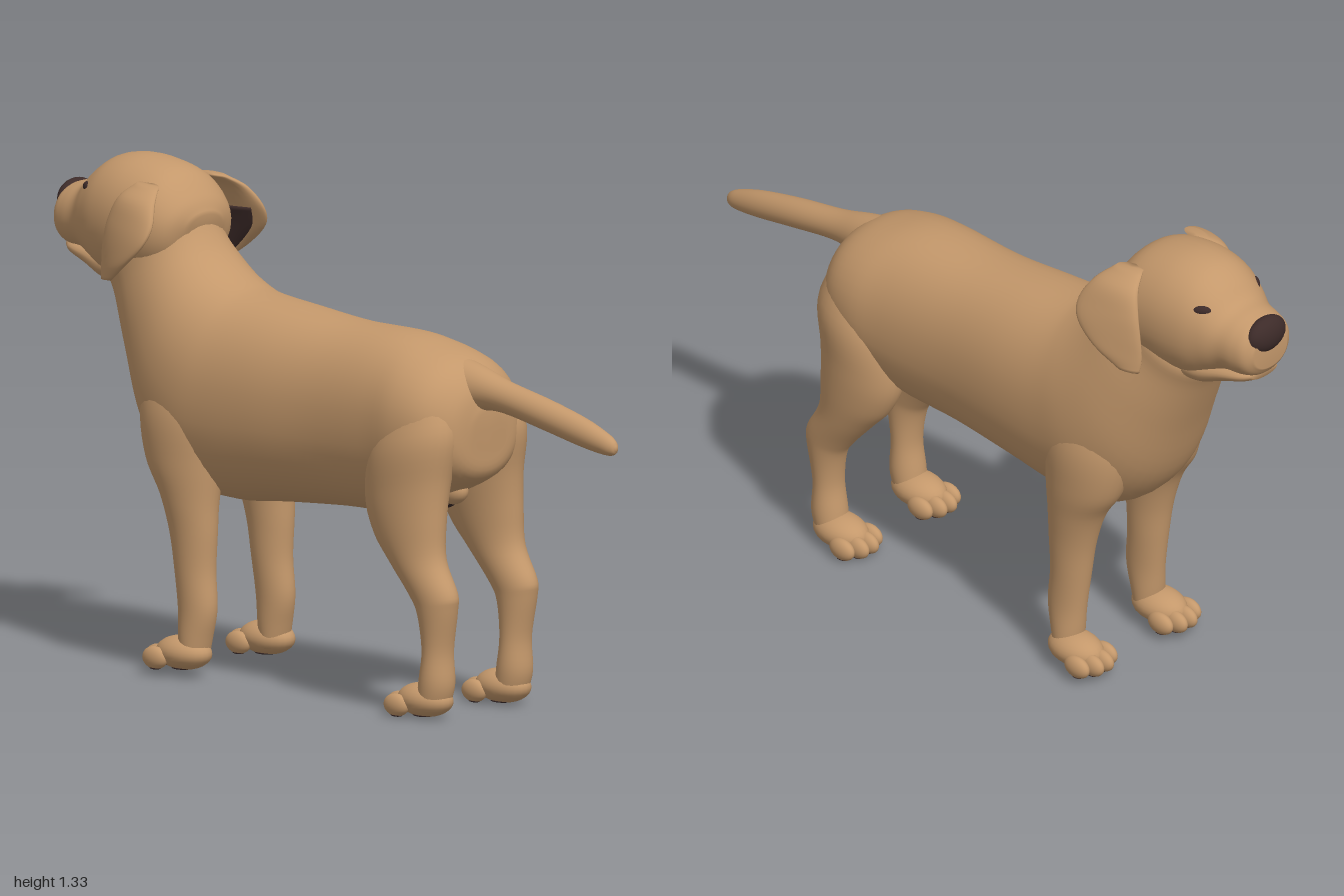
import * as THREE from 'three';

const fur = new THREE.MeshStandardMaterial({ color: 0xc4986b });
fur.name = 'tan fur';
const dark = new THREE.MeshStandardMaterial({ color: 0x3d2b29 });
dark.name = 'dark brown skin';

// Ring spanning two [z, y] points, with half width w and x centres at each point
const ring = ([az, ay, bz, by, w, xa = 0, xb = xa]) => ({
  a: new THREE.Vector3(xa, ay, az), b: new THREE.Vector3(xb, by, bz), w: new THREE.Vector3(w, 0, 0),
});

// Smooth closed skin through a row of rings
function loft(rows, power = 2, sides = 32, steps = 5) {
  const rings = rows.map(ring);
  const curve = (k) => new THREE.CatmullRomCurve3(rings.map((r) => r[k]), false, 'catmullrom', 0.5);
  const [ca, cb, cw] = [curve('a'), curve('b'), curve('w')];
  const n = (rows.length - 1) * steps;
  const pos = [], idx = [];
  const bend = (v) => Math.sign(v) * Math.abs(v) ** (2 / power);
  for (let i = 0; i <= n; i++) {
    const a = ca.getPoint(i / n), b = cb.getPoint(i / n), w = cw.getPoint(i / n).x;
    const mid = a.clone().add(b).multiplyScalar(0.5), half = a.clone().sub(b).multiplyScalar(0.5);
    for (let j = 0; j < sides; j++) {
      const t = (j / sides) * Math.PI * 2, c = bend(Math.cos(t)), s = bend(Math.sin(t));
      pos.push(mid.x + half.x * c + w * s, mid.y + half.y * c, mid.z + half.z * c);
      if (i < n) {
        const p = i * sides + j, q = i * sides + (j + 1) % sides;
        idx.push(p, q, p + sides, q, q + sides, p + sides);
      }
    }
  }
  // End caps
  for (const [i, flip] of [[0, true], [n, false]]) {
    const mid = ca.getPoint(i / n).add(cb.getPoint(i / n)).multiplyScalar(0.5);
    const centre = pos.length / 3;
    pos.push(mid.x, mid.y, mid.z);
    for (let j = 0; j < sides; j++) {
      const p = i * sides + j, q = i * sides + (j + 1) % sides;
      idx.push(centre, flip ? q : p, flip ? p : q);
    }
  }
  // Turn the faces outward
  let volume = 0;
  const at = (i) => new THREE.Vector3(pos[i * 3], pos[i * 3 + 1], pos[i * 3 + 2]);
  for (let i = 0; i < idx.length; i += 3) volume += at(idx[i]).dot(at(idx[i + 1]).cross(at(idx[i + 2])));
  if (volume < 0) idx.reverse();
  const geo = new THREE.BufferGeometry();
  geo.setAttribute('position', new THREE.Float32BufferAttribute(pos, 3));
  geo.setIndex(idx);
  geo.computeVertexNormals();
  return geo;
}

function add(parent, name, geo, mat) {
  const mesh = new THREE.Mesh(geo, mat);
  mesh.name = name;
  parent.add(mesh);
  return mesh;
}

function blob(parent, name, mat, [x, y, z], [rx, ry, rz]) {
  const mesh = add(parent, name, new THREE.SphereGeometry(1, 24, 16), mat);
  mesh.position.set(x, y, z);
  mesh.scale.set(rx, ry, rz);
  return mesh;
}

// Paw with four toes and dark pads, pointing to -z
function paw(parent, name, x, y, z) {
  const g = new THREE.Group();
  g.name = name;
  g.position.set(x, y, z);
  blob(g, 'foot', fur, [0, 0.045, 0.01], [0.06, 0.045, 0.085]);
  blob(g, 'heelPad', dark, [0, 0.006, 0.01], [0.034, 0.006, 0.034]);
  [-0.052, -0.018, 0.018, 0.052].forEach((tx) => {
    const tz = Math.abs(tx) > 0.03 ? -0.045 : -0.065;
    blob(g, 'toe', fur, [tx, 0.03, tz], [0.021, 0.03, 0.042]);
    blob(g, 'toePad', dark, [tx, 0.003, tz], [0.011, 0.004, 0.018]);
  });
  parent.add(g);
}

// Ear flap rings; inset shrinks them for the lining
function earRings(inset) {
  const k = inset ? 0.1 : 0;
  return [
    [-0.63, 1.275, -0.55, 1.27, 0.02, 0.115, 0.125],
    [-0.655, 1.24, -0.515, 1.235, 0.024, 0.16, 0.175],
    [-0.677, 1.18, -0.49, 1.18, 0.022, 0.18, 0.21],
    [-0.69, 1.12, -0.505, 1.13, 0.02, 0.185, 0.23],
    [-0.695, 1.06, -0.565, 1.075, 0.016, 0.185, 0.232],
    [-0.69, 1.02, -0.635, 1.025, 0.01, 0.19, 0.212],
  ].slice(inset ? 2 : 0).map(([az, ay, bz, by, w, xa, xb]) => {
    const dz = (bz - az) * k, dx = (xb - xa) * k, o = inset ? 0.005 : 0;
    return [az + dz, ay, bz - dz, by, w, xa + dx - o, xb - dx - o];
  });
}

export function createModel() {
  const dog = new THREE.Group();
  dog.name = 'dog';

  // Trunk and neck, from rump to throat
  add(dog, 'body', loft([
    [0.535, 0.8, 0.53, 0.7, 0.05],
    [0.515, 0.87, 0.52, 0.63, 0.125],
    [0.46, 0.925, 0.46, 0.59, 0.185],
    [0.37, 0.957, 0.37, 0.55, 0.208],
    [0.25, 0.978, 0.25, 0.5, 0.2],
    [0.05, 0.98, 0.05, 0.49, 0.193],
    [-0.15, 0.997, -0.15, 0.475, 0.205],
    [-0.28, 1.01, -0.34, 0.458, 0.213],
    [-0.34, 1.025, -0.5, 0.485, 0.217],
    [-0.4, 1.055, -0.62, 0.6, 0.205],
    [-0.45, 1.095, -0.7, 0.79, 0.178],
    [-0.485, 1.14, -0.76, 0.93, 0.15],
    [-0.52, 1.2, -0.79, 0.99, 0.14],
    [-0.57, 1.25, -0.79, 1.04, 0.1],
  ], 2.15, 40), fur);

  // Tail
  add(dog, 'tail', loft([
    [0.4, 0.94, 0.42, 0.78, 0.075],
    [0.5, 0.917, 0.51, 0.8, 0.055],
    [0.6, 0.888, 0.6, 0.803, 0.043],
    [0.75, 0.858, 0.75, 0.776, 0.04],
    [0.88, 0.826, 0.88, 0.75, 0.034],
    [0.96, 0.797, 0.96, 0.739, 0.025],
    [0.99, 0.78, 0.99, 0.742, 0.015],
    [1.0, 0.765, 1.0, 0.755, 0.004],
  ]), fur);

  // Skull and upper muzzle
  add(dog, 'head', loft([
    [-0.49, 1.19, -0.51, 1.12, 0.06],
    [-0.515, 1.24, -0.54, 1.05, 0.125],
    [-0.58, 1.3, -0.6, 1.0, 0.158],
    [-0.69, 1.325, -0.7, 0.985, 0.162],
    [-0.78, 1.318, -0.78, 0.99, 0.15],
    [-0.84, 1.285, -0.84, 1.02, 0.128],
    [-0.885, 1.242, -0.885, 1.045, 0.108],
    [-0.93, 1.228, -0.93, 1.05, 0.1],
    [-0.965, 1.215, -0.965, 1.06, 0.088],
    [-0.985, 1.18, -0.985, 1.085, 0.06],
  ], 2.1, 40), fur);
  add(dog, 'lowerJaw', loft([
    [-0.72, 1.09, -0.74, 0.965, 0.1],
    [-0.8, 1.08, -0.8, 0.977, 0.1],
    [-0.87, 1.08, -0.87, 1.008, 0.085],
    [-0.93, 1.08, -0.93, 1.03, 0.07],
    [-0.965, 1.075, -0.962, 1.045, 0.045],
  ]), fur);
  blob(dog, 'nose', dark, [0, 1.178, -0.967], [0.066, 0.05, 0.033]);

  // Underside details
  blob(dog, 'sheath', fur, [0, 0.505, 0.16], [0.026, 0.026, 0.06]);
  blob(dog, 'groin', fur, [0, 0.575, 0.4], [0.034, 0.038, 0.05]);
  blob(dog, 'groinSkin', dark, [0, 0.555, 0.375], [0.026, 0.03, 0.04]);

  // Mirrored parts
  for (const side of [1, -1]) {
    const half = new THREE.Group();
    half.name = side > 0 ? 'leftParts' : 'rightParts';
    half.scale.x = side;
    dog.add(half);

    add(half, 'ear', loft(earRings(false), 2, 24), fur);
    add(half, 'earLining', loft(earRings(true), 2, 24), dark);

    const eye = blob(half, 'eye', dark, [0.098, 1.232, -0.832], [0.028, 0.015, 0.012]);
    eye.rotation.y = Math.PI - 0.95;

    add(half, 'hindLeg', loft([
      [0.43, 0.03, 0.515, 0.025, 0.045, 0.145],
      [0.44, 0.1, 0.533, 0.09, 0.05, 0.145],
      [0.45, 0.18, 0.53, 0.18, 0.045, 0.145],
      [0.435, 0.27, 0.55, 0.29, 0.049, 0.148],
      [0.405, 0.32, 0.55, 0.335, 0.053, 0.148],
      [0.335, 0.4, 0.505, 0.42, 0.062, 0.147],
      [0.275, 0.47, 0.5, 0.52, 0.074, 0.143],
      [0.24, 0.56, 0.505, 0.62, 0.086, 0.135],
      [0.25, 0.68, 0.522, 0.74, 0.096, 0.124],
      [0.31, 0.8, 0.49, 0.84, 0.07, 0.11],
    ]), fur);
    paw(half, 'hindPaw', 0.145, 0, 0.435);

    add(half, 'frontLeg', loft([
      [-0.425, 0.04, -0.36, 0.04, 0.043, 0.15],
      [-0.435, 0.1, -0.345, 0.1, 0.046, 0.148],
      [-0.442, 0.18, -0.328, 0.18, 0.046, 0.145],
      [-0.455, 0.28, -0.336, 0.28, 0.05, 0.143],
      [-0.472, 0.38, -0.332, 0.38, 0.056, 0.143],
      [-0.505, 0.48, -0.33, 0.46, 0.067, 0.142],
      [-0.56, 0.57, -0.32, 0.57, 0.085, 0.135],
      [-0.59, 0.7, -0.31, 0.7, 0.1, 0.118],
      [-0.57, 0.84, -0.34, 0.84, 0.07, 0.1],
    ]), fur);
    paw(half, 'frontPaw', 0.155, 0.015, -0.435);
  }
  return dog;
}
